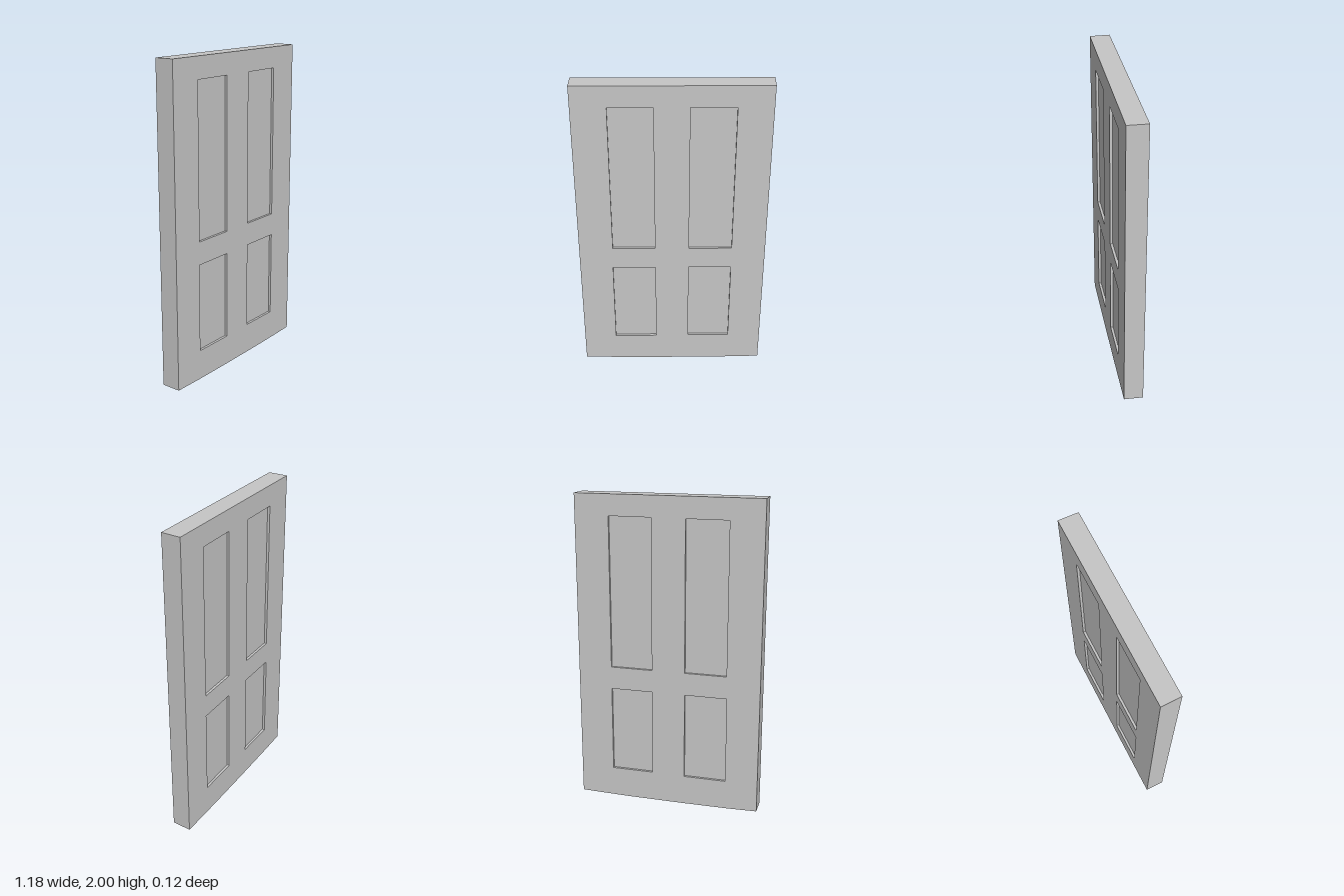
import * as THREE from 'three';

const FRONT = 0.061, BACK = -0.063, RECESS = 0.016;

// Panel openings: left, right, bottom, top
const PANELS = {
  upperRightPanel: [-0.38, -0.112, 0.902, 1.867],
  upperLeftPanel: [0.102, 0.373, 0.902, 1.867],
  lowerRightPanel: [-0.384, -0.112, 0.193, 0.756],
  lowerLeftPanel: [0.102, 0.373, 0.197, 0.756],
};

const polygon = (points) => points.map(([x, y]) => new THREE.Vector2(x, y));

export function createModel() {
  const door = new THREE.Group();
  door.name = 'door';
  const grey = new THREE.MeshStandardMaterial({ color: 0xc6c6c6 });
  grey.name = 'light grey';

  // Frame: slab with a slightly worn, bowed bottom edge and four openings
  const outline = new THREE.Shape(polygon([
    [-0.593, 0.007], [-0.4, 0.002], [-0.1, 0], [0.27, 0.001],
    [0.48, 0.005], [0.585, 0.008], [0.585, 2], [-0.593, 2],
  ]));
  for (const [l, r, b, t] of Object.values(PANELS)) {
    outline.holes.push(new THREE.Path(polygon([[l, b], [l, t], [r, t], [r, b]])));
  }
  const frameGeometry = new THREE.ExtrudeGeometry(outline, { depth: FRONT - BACK, bevelEnabled: false });
  frameGeometry.translate(0, 0, BACK);

  // Bevel the latch edge: the back is a little wider than the front
  const p = frameGeometry.attributes.position;
  for (let i = 0; i < p.count; i++) {
    if (p.getX(i) > 0.58 && p.getZ(i) < 0) p.setX(i, 0.591);
  }
  frameGeometry.computeVertexNormals();
  const frame = new THREE.Mesh(frameGeometry, grey);
  frame.name = 'frame';
  door.add(frame);

  // Panels: recessed on both faces
  const depth = FRONT - BACK - 2 * RECESS;
  for (const [name, [l, r, b, t]] of Object.entries(PANELS)) {
    const panel = new THREE.Mesh(new THREE.BoxGeometry(r - l, t - b, depth), grey);
    panel.position.set((l + r) / 2, (b + t) / 2, (FRONT + BACK) / 2);
    panel.name = name;
    door.add(panel);
  }
  return door;
}
